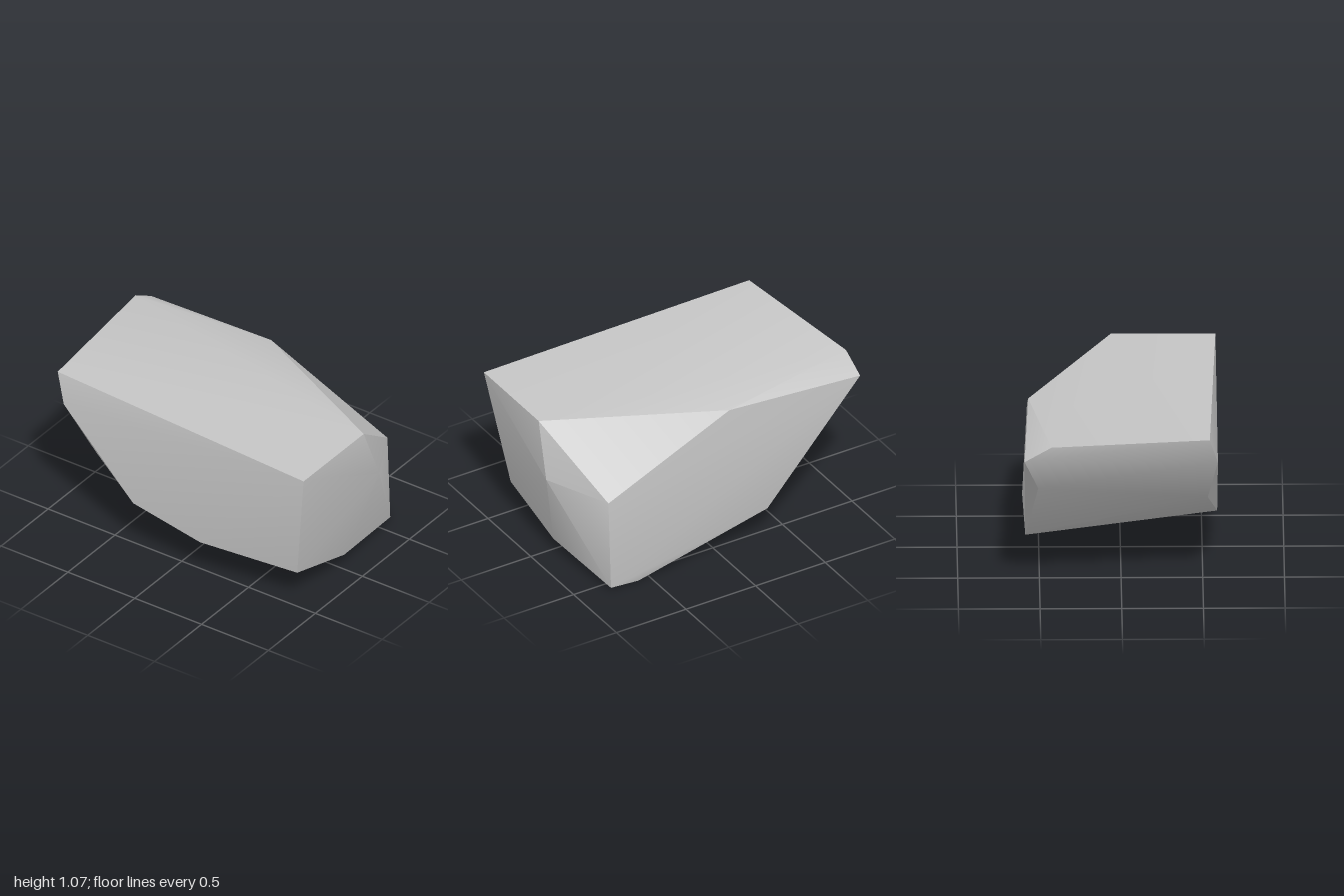
import * as THREE from 'three';
import { ConvexGeometry } from 'three/addons/geometries/ConvexGeometry.js';
import { toCreasedNormals } from 'three/addons/utils/BufferGeometryUtils.js';

export function createModel() {
  const group = new THREE.Group();
  group.name = 'rock';

  const stone = new THREE.MeshStandardMaterial({ color: 0xc5c5c5 });
  stone.name = 'stone grey';

  // Corners of the boulder, grouped by the side they bound
  const corners = [
    // top rim
    [-0.9, 1.07, 0.54], [0.975, 1.01, 0.59], [0.975, 1.01, -0.05],
    [-0.08, 1.015, -0.565], [-1, 1.065, -0.43],
    // lower rim of the front
    [-0.82, 0.89, 0.59], [-0.62, 0.58, 0.53], [-0.3, 0.36, 0.59],
    [0.2, 0.265, 0.59], [0.85, 0.23, 0.48],
    // left end
    [1, 0.66, -0.18], [0.85, 0.09, -0.02],
    // back
    [0.79, 0.63, -0.565], [0.79, 0.03, -0.595], [0.58, 0, -0.575],
    [-0.34, 0.22, -0.585], [-0.86, 0.74, -0.51], [-1, 0.97, -0.595],
  ].map((p) => new THREE.Vector3(...p));

  // Broad facets blend softly, sharp ridges stay crisp
  const geometry = toCreasedNormals(new ConvexGeometry(corners), Math.PI / 6);
  const boulder = new THREE.Mesh(geometry, stone);
  boulder.name = 'boulder';
  group.add(boulder);

  return group;
}
